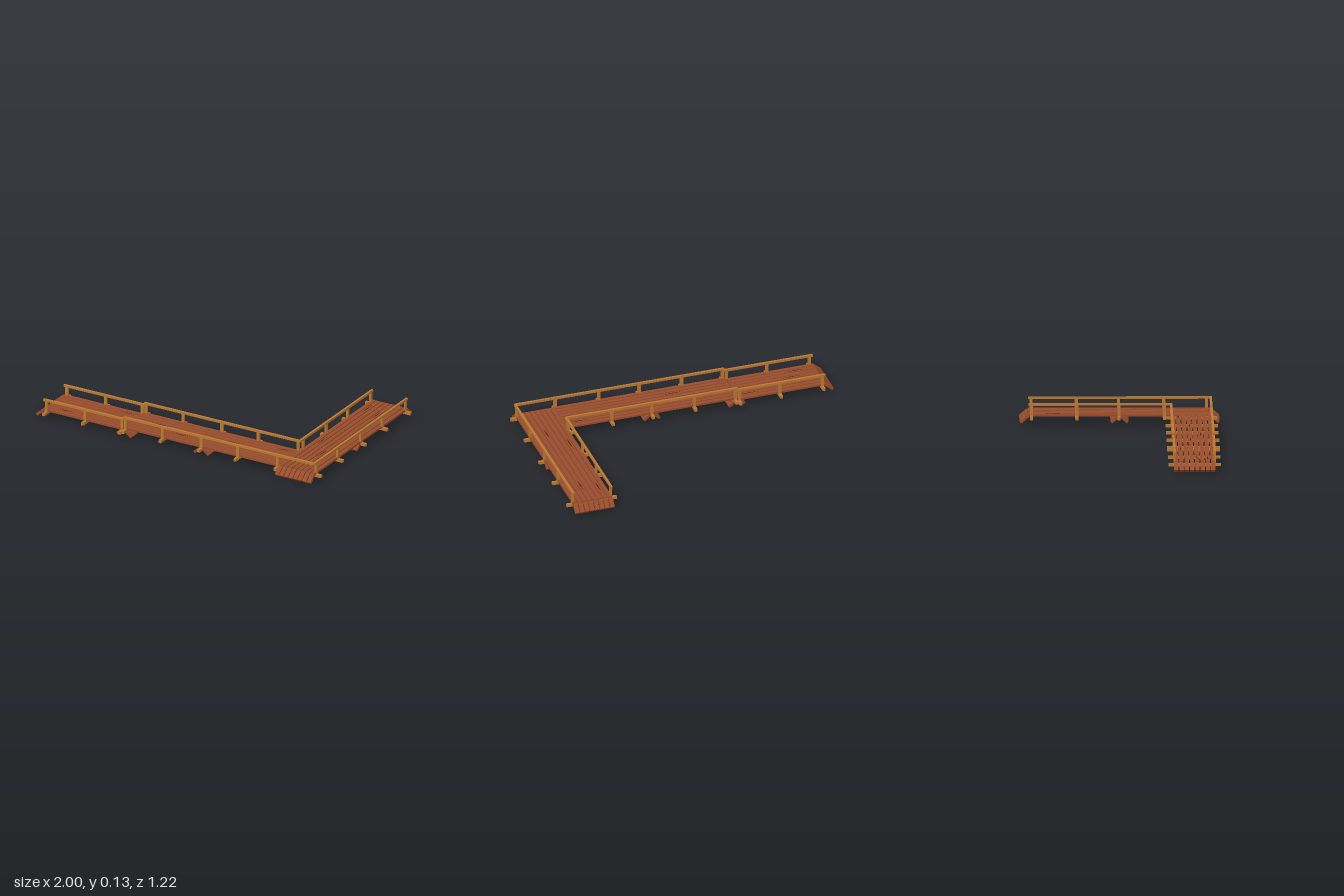
import * as THREE from 'three';

const plankWood = new THREE.MeshStandardMaterial({ color: 0x974c2b });
plankWood.name = 'red brown plank wood';
const frameWood = new THREE.MeshStandardMaterial({ color: 0xbb7832 });
frameWood.name = 'golden frame wood';
const grainDark = new THREE.MeshStandardMaterial({ color: 0x4a2414, side: THREE.DoubleSide });
grainDark.name = 'dark wood grain';

const PLANKS = 8, PITCH = 0.0322, PLANK_W = 0.0265;

function box(parent, name, size, pos, mat, rotZ = 0) {
  const mesh = new THREE.Mesh(new THREE.BoxGeometry(...size), mat);
  mesh.name = name;
  mesh.position.set(...pos);
  mesh.rotation.z = rotZ;
  parent.add(mesh);
}

// A straight deck along local x, centred on z = 0, with its top at the given height.
// Each plank is bent down at both ends.
function deckModule(name, x0, x1, top, drop, streaks) {
  const g = new THREE.Group();
  g.name = name;
  const t = 0.012, run = 0.05, len = Math.hypot(run, drop), angle = Math.atan2(drop, run);
  for (let i = 0; i < PLANKS; i++) {
    const z = (i - (PLANKS - 1) / 2) * PITCH;
    box(g, 'deckPlank', [x1 - x0, t, PLANK_W], [(x0 + x1) / 2, top - t / 2, z], plankWood);
    for (const [x, s] of [[x0, -1], [x1, 1]]) {
      box(g, 'endPlank', [len, 0.016, PLANK_W],
        [x + s * run / 2, top - 0.008 - drop / 2, z], plankWood, -s * angle);
    }
  }
  // tapered grain marks lying on the planks
  for (const [x, plank] of streaks) {
    const z = (plank - (PLANKS - 1) / 2) * PITCH;
    const shape = new THREE.Shape([[-0.065, 0], [0, -0.004], [0.065, 0.002], [0, 0.004]]
      .map(p => new THREE.Vector2(...p)));
    const mark = new THREE.Mesh(new THREE.ShapeGeometry(shape), grainDark);
    mark.name = 'grainMark';
    mark.rotation.x = -Math.PI / 2;
    mark.position.set(x, top + 0.0008, z);
    g.add(mark);
  }
  return g;
}

// Crossbeams below the deck, each reaching past both edges
function crossbeams(parent, xs, top) {
  for (const x of xs) box(parent, 'crossbeam', [0.018, 0.018, 0.32], [x, top - 0.021, 0], frameWood);
}

// Handrail with its posts along local x
function railing(parent, z, x0, x1, posts, top, height) {
  box(parent, 'handrail', [x1 - x0, 0.014, 0.014], [(x0 + x1) / 2, top + height, z], frameWood);
  const h = height + 0.024;
  for (const x of posts) box(parent, 'railPost', [0.019, h, 0.013], [x, top + height - h / 2, z], frameWood);
}

export function createModel() {
  const model = new THREE.Group();
  model.name = 'boardwalk';
  const E = 0.122; // railing distance from the deck centreline

  // Long arm along x: a low section followed by two higher ones
  const longArm = new THREE.Group();
  longArm.name = 'longArm';
  longArm.position.z = 0.435;
  longArm.add(deckModule('lowDeck', -0.947, -0.38, 0.058, 0.041, [[-0.78, 4], [-0.82, 6], [-0.47, 1]]));
  longArm.add(deckModule('middleDeck', -0.38, 0.165, 0.068, 0.043, [[-0.2, 3], [-0.02, 5]]));
  longArm.add(deckModule('cornerDeck', 0.165, 0.71, 0.068, 0.043, [[0.3, 3], [0.62, 1]]));
  const lowPosts = [-0.928, -0.655, -0.395], highPosts = [-0.37, -0.108, 0.165, 0.422, 0.703];
  crossbeams(longArm, lowPosts, 0.058);
  crossbeams(longArm, highPosts, 0.068);
  for (const s of [-1, 1]) {
    railing(longArm, s * E, -0.948, -0.38, lowPosts, 0.058, 0.06);
    // the outer rail carries on around the corner
    railing(longArm, s * E, -0.382, s > 0 ? 0.96 : 0.715, highPosts, 0.068, 0.062);
  }
  model.add(longArm);

  // Short arm along z: local +x points to -z
  const shortArm = new THREE.Group();
  shortArm.name = 'shortArm';
  shortArm.position.x = 0.837;
  shortArm.rotation.y = Math.PI / 2;
  shortArm.add(deckModule('frontDeck', -0.553, 0, 0.068, 0.041, [[-0.12, 1], [-0.27, 4]]));
  shortArm.add(deckModule('backDeck', 0, 0.553, 0.068, 0.041, [[0.42, 1], [0.37, 4]]));
  const posts = [-0.532, -0.272, 0.003, 0.26, 0.535];
  crossbeams(shortArm, posts, 0.068);
  railing(shortArm, E, -0.557, 0.553, posts, 0.068, 0.062);
  railing(shortArm, -E, -0.315, 0.553, posts.slice(1), 0.068, 0.062);
  model.add(shortArm);

  return model;
}
